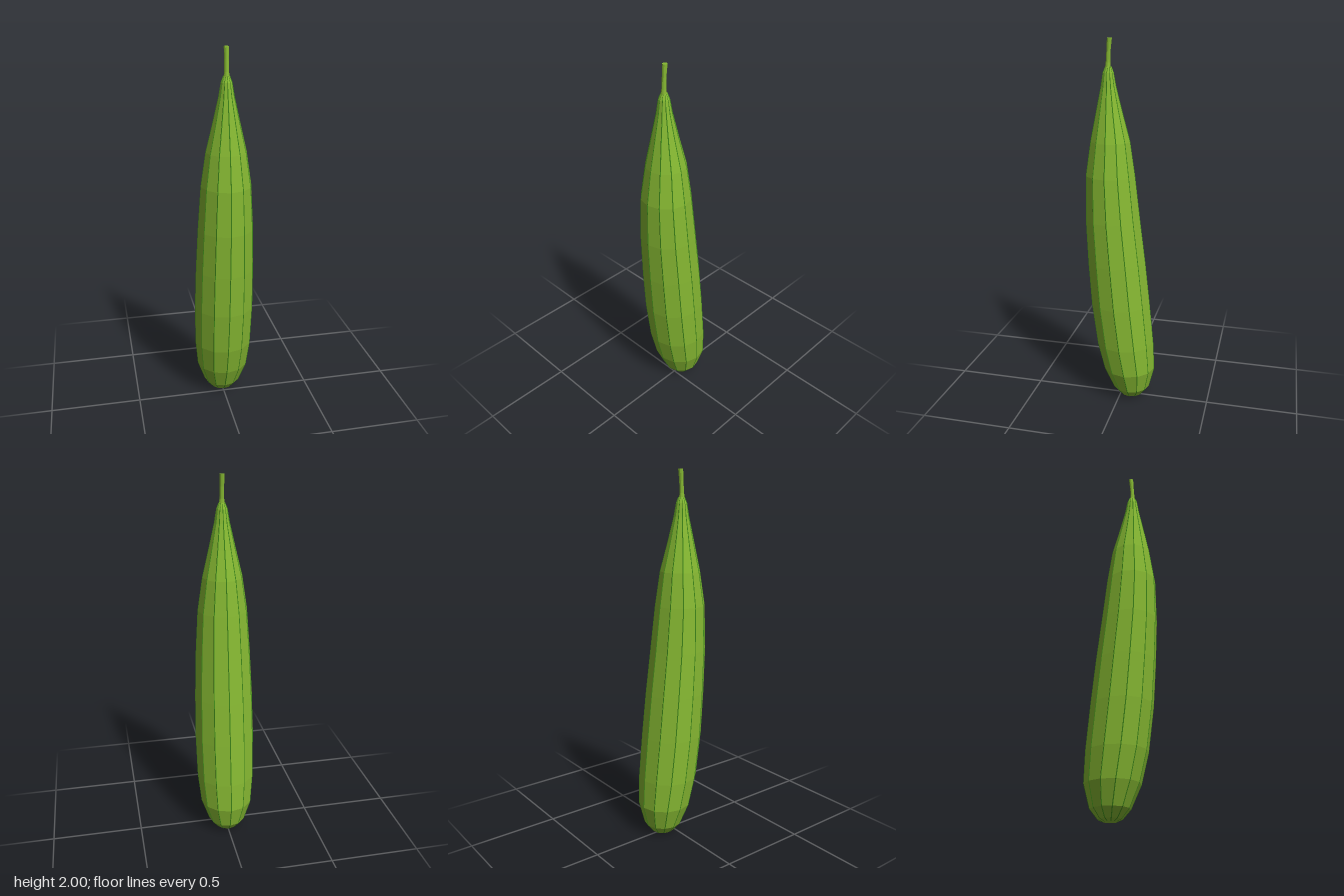
import * as THREE from 'three';

const SIDES = 12;

// Levels of the fruit: height, radius, forward offset of the centre line
const LEVELS = [
  [0.0, 0.035, -0.06], [0.012, 0.062, -0.061], [0.06, 0.102, -0.06], [0.18, 0.144, -0.048],
  [0.34, 0.16, -0.024], [0.58, 0.164, 0.004], [0.82, 0.159, 0.026], [1.06, 0.149, 0.047],
  [1.3, 0.133, 0.06], [1.48, 0.106, 0.06], [1.63, 0.07, 0.065], [1.76, 0.04, 0.068],
  [1.83, 0.028, 0.069], [1.86, 0.016, 0.068],
];

// Levels of the stem, slightly bent backward and flaring at the tip
const STEM = [[1.84, 0.017, 0.071], [1.88, 0.012, 0.07], [1.94, 0.011, 0.067], [2.0, 0.013, 0.062]];

// Ring of points around the centre line at one level
function ring([y, r, z], sides) {
  return Array.from({ length: sides }, (_, i) => {
    const a = (i / sides) * Math.PI * 2;
    return new THREE.Vector3(Math.sin(a) * r, y, z + Math.cos(a) * r);
  });
}

// Skin a stack of equal rings, closing both ends
function skin(rings) {
  const n = rings[0].length;
  const index = [];
  const points = rings.flat();
  for (let k = 0; k < rings.length - 1; k++) {
    for (let i = 0; i < n; i++) {
      const a = k * n + i, b = k * n + (i + 1) % n;
      index.push(a, b, b + n, a, b + n, a + n);
    }
  }
  const top = (rings.length - 1) * n;
  for (let i = 1; i < n - 1; i++) {
    index.push(0, i + 1, i, top, top + i, top + i + 1);
  }
  const geometry = new THREE.BufferGeometry().setFromPoints(points);
  geometry.setIndex(index);
  geometry.computeVertexNormals();
  return geometry;
}

export function createModel() {
  const group = new THREE.Group();
  group.name = 'ridgedGourd';
  const green = new THREE.MeshStandardMaterial({ color: 0x86b832, flatShading: true });
  const darkGreen = new THREE.MeshStandardMaterial({ color: 0x3f8a1a, flatShading: true });

  const add = (name, geometry, material, parent = group) => {
    const mesh = new THREE.Mesh(geometry, material);
    mesh.name = name;
    parent.add(mesh);
  };

  add('body', skin(LEVELS.map((level) => ring(level, SIDES))), green);
  add('stem', skin(STEM.map((level) => ring(level, 10))), green);

  // Thin raised rib along every edge of the body
  const ribs = new THREE.Group();
  ribs.name = 'ribs';
  group.add(ribs);
  for (let i = 0; i < SIDES; i++) {
    const a = (i / SIDES) * Math.PI * 2;
    const sections = LEVELS.map(([y, r, z]) => {
      const w = Math.min(0.003, r * 0.07);
      return [[-w, -0.001], [0, 0.0015], [w, -0.001]].map(([t, d]) => new THREE.Vector3(
        Math.sin(a) * (r + d) + Math.cos(a) * t, y, z + Math.cos(a) * (r + d) - Math.sin(a) * t));
    });
    add('rib', skin(sections), darkGreen, ribs);
  }
  return group;
}
